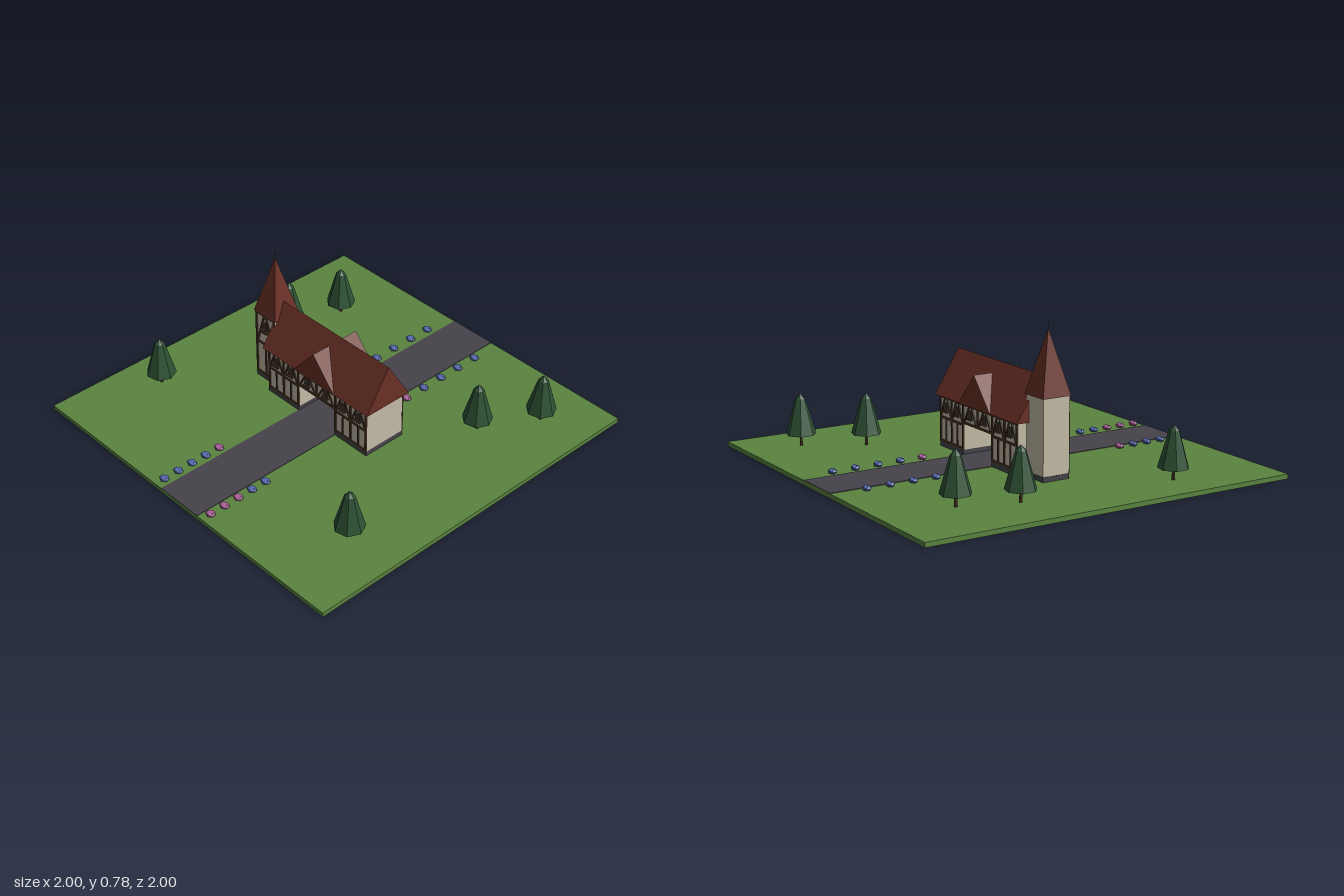
import * as THREE from 'three';

const mat = (name, color, flatShading = true) => {
  const m = new THREE.MeshStandardMaterial({ color, flatShading });
  m.name = name;
  return m;
};

export function createModel() {
  const M = {
    grass: mat('grass', 0x5a8340), paving: mat('paving', 0x45434a),
    plaster: mat('plaster', 0xc4bca8), timber: mat('timber', 0x4a3623),
    roof: mat('roofTile', 0x6a3025), glass: mat('windowGlass', 0x40342f),
    leaf: mat('foliage', 0x2c5033), blue: mat('blueFlower', 0x5468b0),
    pink: mat('pinkFlower', 0xae609c),
  };
  const model = new THREE.Group();
  model.name = 'gatehouse';

  const add = (parent, name, geo, material, x = 0, y = 0, z = 0) => {
    const mesh = new THREE.Mesh(geo, material);
    mesh.name = name;
    mesh.position.set(x, y, z);
    parent.add(mesh);
    return mesh;
  };
  // Box given by its limits
  const box = (parent, name, material, x0, x1, y0, y1, z0, z1) =>
    add(parent, name, new THREE.BoxGeometry(x1 - x0, y1 - y0, z1 - z0), material,
      (x0 + x1) / 2, (y0 + y1) / 2, (z0 + z1) / 2);
  // Solid triangular prism lying along z
  const prism = (half, y0, y1, length) => {
    const s = new THREE.Shape([new THREE.Vector2(-half, y0),
      new THREE.Vector2(half, y0), new THREE.Vector2(0, y1)]);
    return new THREE.ExtrudeGeometry(s, { depth: length, bevelEnabled: false })
      .translate(0, 0, -length / 2);
  };
  // Timber beam on a wall between two points
  const beam = (parent, x0, y0, x1, y1, z, w = 0.011) => {
    const len = Math.hypot(x1 - x0, y1 - y0);
    const b = add(parent, 'timberBeam', new THREE.BoxGeometry(len, w, 0.008), M.timber,
      (x0 + x1) / 2, (y0 + y1) / 2, z);
    b.rotation.z = Math.atan2(y1 - y0, x1 - x0);
  };
  const windowAt = (parent, x, y, z, w, h) => {
    box(parent, 'window', M.glass, x - w / 2, x + w / 2, y - h / 2, y + h / 2, z - 0.003, z + 0.006);
    box(parent, 'windowSill', M.timber, x - w / 2 - 0.004, x + w / 2 + 0.004,
      y - h / 2 - 0.008, y - h / 2, z - 0.003, z + 0.014);
  };

  // Ground and road
  const G = 0.024;
  box(model, 'ground', M.grass, -1, 1, 0, G, -1, 1);
  box(model, 'road', M.paving, -0.133, 0.133, G - 0.004, G + 0.003, -1, 1);

  // Hall with an open passage through the middle
  const hall = new THREE.Group();
  hall.name = 'hall';
  model.add(hall);
  for (const [x0, x1] of [[-0.36, -0.13], [0.13, 0.355]]) {
    box(hall, 'stoneFooting', M.paving, x0, x1, G, 0.05, -0.122, 0.122);
    box(hall, 'wingWall', M.plaster, x0, x1, 0.05, 0.29, -0.12, 0.12);
  }
  box(hall, 'wallOverPassage', M.plaster, -0.13, 0.13, 0.185, 0.29, -0.12, 0.12);
  add(hall, 'mainRoof', prism(0.14, 0.288, 0.512, 0.755), M.roof, -0.002).rotation.y = Math.PI / 2;
  add(hall, 'crossGable', prism(0.147, 0.286, 0.455, 0.284), M.roof);

  // Half-timbering on front and back
  for (const side of [0, 1]) {
    const face = new THREE.Group();
    face.name = side ? 'backTimbering' : 'frontTimbering';
    if (side) face.rotation.y = Math.PI;
    hall.add(face);
    const z = 0.121;
    for (const dir of [-1, 1]) {
      // Wing: rails, posts, and two bays
      beam(face, dir * 0.13, 0.177, dir * 0.355, 0.177, z);
      beam(face, dir * 0.13, 0.056, dir * 0.355, 0.056, z);
      for (const x of [0.135, 0.243, 0.35]) beam(face, dir * x, 0.05, dir * x, 0.29, z);
      for (const x of [0.189, 0.297]) {
        beam(face, dir * x, 0.056, dir * x, 0.177, z, 0.008);
        for (const s of [-1, 1]) beam(face, dir * x + s * 0.05, 0.18, dir * x + s * 0.012, 0.277, z, 0.009);
        windowAt(face, dir * x, 0.236, z, 0.034, 0.042);
      }
      // Bay over the passage
      for (const s of [-1, 1]) beam(face, dir * 0.066 + s * 0.055, 0.196, dir * 0.066 + s * 0.012, 0.277, z, 0.009);
      windowAt(face, dir * 0.066, 0.243, z, 0.034, 0.042);
    }
    beam(face, 0, 0.19, 0, 0.29, z);
    beam(face, -0.13, 0.19, 0.13, 0.19, z);
    beam(face, -0.355, 0.282, 0.355, 0.282, z);
  }

  // Stair tower with spire
  const tower = new THREE.Group();
  tower.name = 'tower';
  tower.position.x = -0.431;
  model.add(tower);
  box(tower, 'towerFooting', M.paving, -0.074, 0.074, G, 0.05, -0.074, 0.074);
  box(tower, 'towerWall', M.plaster, -0.0725, 0.0725, 0.05, 0.43, -0.0725, 0.0725);
  const spire = new THREE.ConeGeometry(0.079 * Math.SQRT2, 0.318, 4).rotateY(Math.PI / 4);
  add(tower, 'spire', spire, M.roof, 0, 0.425 + 0.159, 0);
  add(tower, 'finial', new THREE.CylinderGeometry(0.002, 0.002, 0.06, 6), M.paving, 0, 0.75, 0);
  const tz = 0.0735;
  for (const s of [-1, 1]) {
    beam(tower, s * 0.066, 0.05, s * 0.066, 0.43, tz);
    beam(tower, s * 0.06, 0.25, s * 0.008, 0.415, tz, 0.01);
  }
  for (const y of [0.056, 0.245, 0.422]) beam(tower, -0.07, y, 0.07, y, tz);
  beam(tower, 0, 0.056, 0, 0.245, tz);
  windowAt(tower, 0, 0.355, tz, 0.03, 0.055);

  // Fir trees
  const crown = new THREE.LatheGeometry([[0, 0.083], [0.078, 0.083], [0.026, 0.265], [0, 0.294]]
    .map(([x, y]) => new THREE.Vector2(x, y)), 7).rotateY(Math.PI / 2);
  const trunk = new THREE.CylinderGeometry(0.007, 0.009, 0.07, 6);
  for (const [x, z] of [[-0.62, -0.62], [-0.715, -0.335], [0.735, -0.715],
    [0.57, -0.43], [-0.787, 0.475], [0.713, 0.57]]) {
    const tree = new THREE.Group();
    tree.name = 'tree';
    tree.position.set(x, 0, z);
    add(tree, 'treeTrunk', trunk, M.timber, 0, 0.055, 0);
    add(tree, 'treeCrown', crown, M.leaf);
    model.add(tree);
  }

  // Flower clumps beside the road
  const clump = new THREE.IcosahedronGeometry(1, 0).scale(0.029, 0.016, 0.023);
  const row = (x, z0, step, colours) => [...colours].forEach((c, i) =>
    add(model, 'flowerClump', clump, c === 'p' ? M.pink : M.blue, x, 0.035, z0 + step * i));
  row(-0.172, 0.61, 0.085, 'pbbbb');
  row(0.172, 0.61, 0.085, 'bbppp');
  row(-0.172, -0.335, -0.1235, 'pbbbb');
  row(0.172, -0.335, -0.1235, 'pbbbb');

  return model;
}
